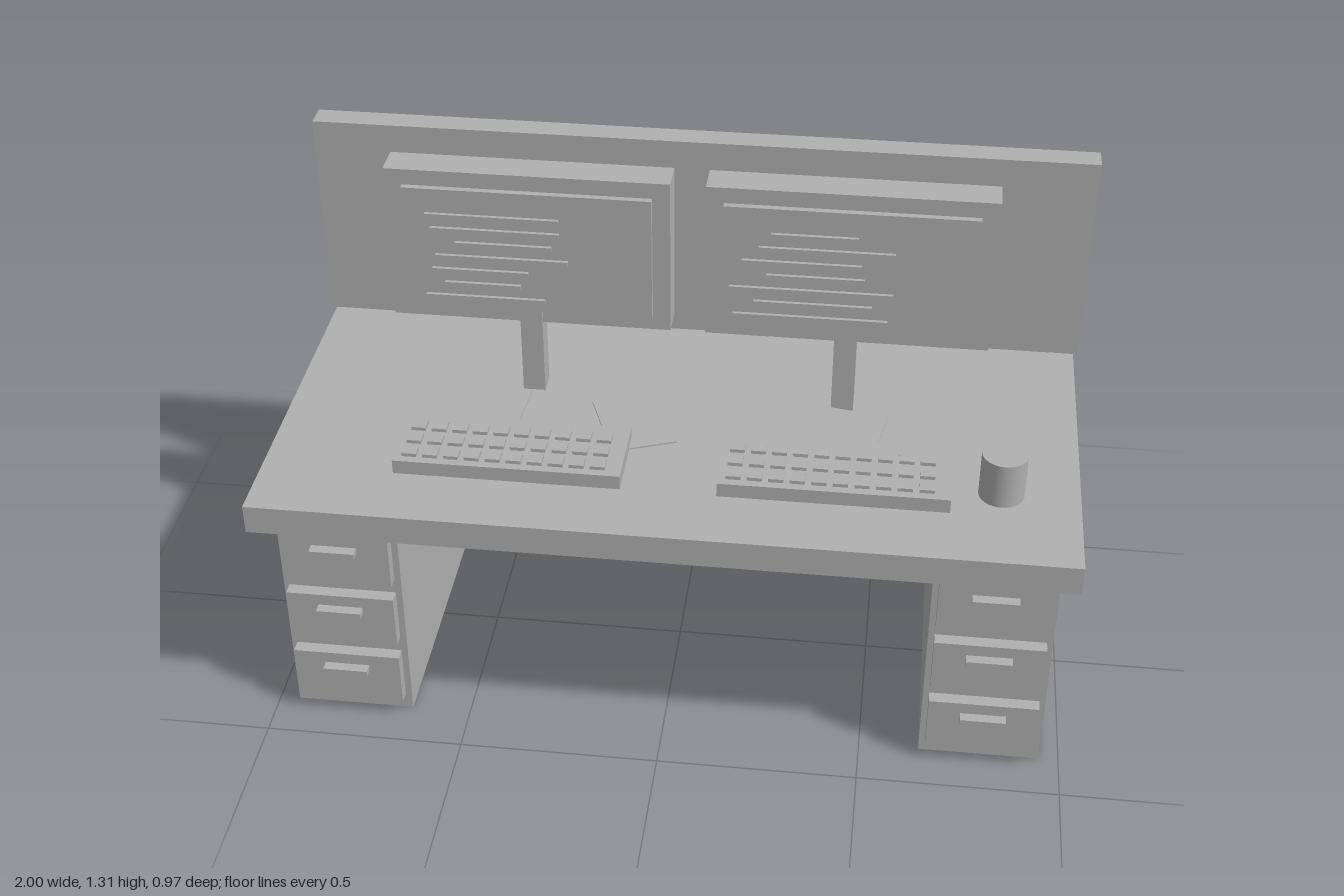
import * as THREE from 'three';

const grey = new THREE.MeshStandardMaterial({ color: 0xb0b0b0 });
grey.name = 'grey';

// Box given by its minimum and maximum on each axis
function box(parent, name, [x0, x1], [y0, y1], [z0, z1]) {
  const mesh = new THREE.Mesh(new THREE.BoxGeometry(x1 - x0, y1 - y0, z1 - z0), grey);
  mesh.position.set((x0 + x1) / 2, (y0 + y1) / 2, (z0 + z1) / 2);
  mesh.name = name;
  parent.add(mesh);
  return mesh;
}

function group(parent, name, x = 0) {
  const g = new THREE.Group();
  g.name = name;
  g.position.x = x;
  parent.add(g);
  return g;
}

// Cabinet with three drawers and bar handles
function addPedestal(parent, name, x) {
  const g = group(parent, name, x);
  box(g, 'cabinet', [-0.15, 0.15], [0, 0.628], [-0.378, 0.378]);
  for (const y of [0.123, 0.312, 0.5]) {
    box(g, 'drawerFront', [-0.135, 0.135], [y - 0.073, y + 0.073], [0.382, 0.414]);
    box(g, 'drawerHandle', [-0.056, 0.056], [y + 0.026, y + 0.042], [0.414, 0.44]);
  }
}

// Monitor with raised screen, stand and lines on the screen ([start, end] per line)
function addMonitor(parent, name, x, lines) {
  const g = group(parent, name, x);
  box(g, 'monitorBody', [-0.35, 0.35], [0.9, 1.31], [-0.182, -0.097]);
  box(g, 'screen', [-0.306, 0.306], [0.941, 1.269], [-0.097, -0.081]);
  box(g, 'stand', [-0.028, 0.028], [0.7, 0.945], [-0.147, -0.088]);
  lines.forEach(([a, b], i) => {
    const y = 1.2 - i * 0.038;
    box(g, 'screenLine', [a, b], [y - 0.005, y + 0.005], [-0.081, -0.072]);
  });
}

// Keyboard slab with three rows of ten keys
function addKeyboard(parent, name, x) {
  const g = group(parent, name, x);
  box(g, 'keyboardBase', [-0.277, 0.277], [0.705, 0.742], [0.11, 0.316]);
  for (let c = 0; c < 10; c++) {
    const kx = -0.24 + c * 0.0511;
    for (const z of [0.167, 0.222, 0.277]) {
      box(g, 'key', [kx - 0.018, kx + 0.018], [0.742, 0.751], [z - 0.018, z + 0.018]);
    }
  }
}

export function createModel() {
  const model = new THREE.Group();
  model.name = 'desk';

  box(model, 'desktop', [-0.988, 0.988], [0.625, 0.7], [-0.48, 0.485]);
  box(model, 'backPanel', [-1, 1], [0.698, 1.258], [-0.485, -0.418]);

  addPedestal(model, 'rightPedestal', -0.8);
  addPedestal(model, 'leftPedestal', 0.8);

  addMonitor(model, 'rightMonitor', -0.386, [
    [-0.25, 0.08], [-0.24, 0.08], [-0.18, 0.06], [-0.23, 0.1],
    [-0.24, 0.0], [-0.21, -0.02], [-0.26, 0.04],
  ]);
  addMonitor(model, 'leftMonitor', 0.4, [
    [-0.19, 0.02], [-0.22, 0.11], [-0.26, 0.03], [-0.2, 0.04],
    [-0.29, 0.11], [-0.23, 0.06], [-0.28, 0.1],
  ]);

  addKeyboard(model, 'rightKeyboard', -0.385);
  addKeyboard(model, 'leftKeyboard', 0.401);

  // Loose sheets: x, z, turn
  for (const [x, z, turn] of [[-0.476, 0.042, -0.065], [-0.111, 0.042, 0.368], [0.418, 0.042, -0.175]]) {
    const sheet = box(model, 'paperSheet', [x - 0.082, x + 0.082], [0.709, 0.713], [z - 0.11, z + 0.11]);
    sheet.rotation.y = turn;
  }

  // Cup
  const cup = new THREE.Mesh(new THREE.CylinderGeometry(0.055, 0.055, 0.118, 32), grey);
  cup.name = 'cup';
  cup.position.set(0.798, 0.767, 0.23);
  model.add(cup);

  return model;
}
